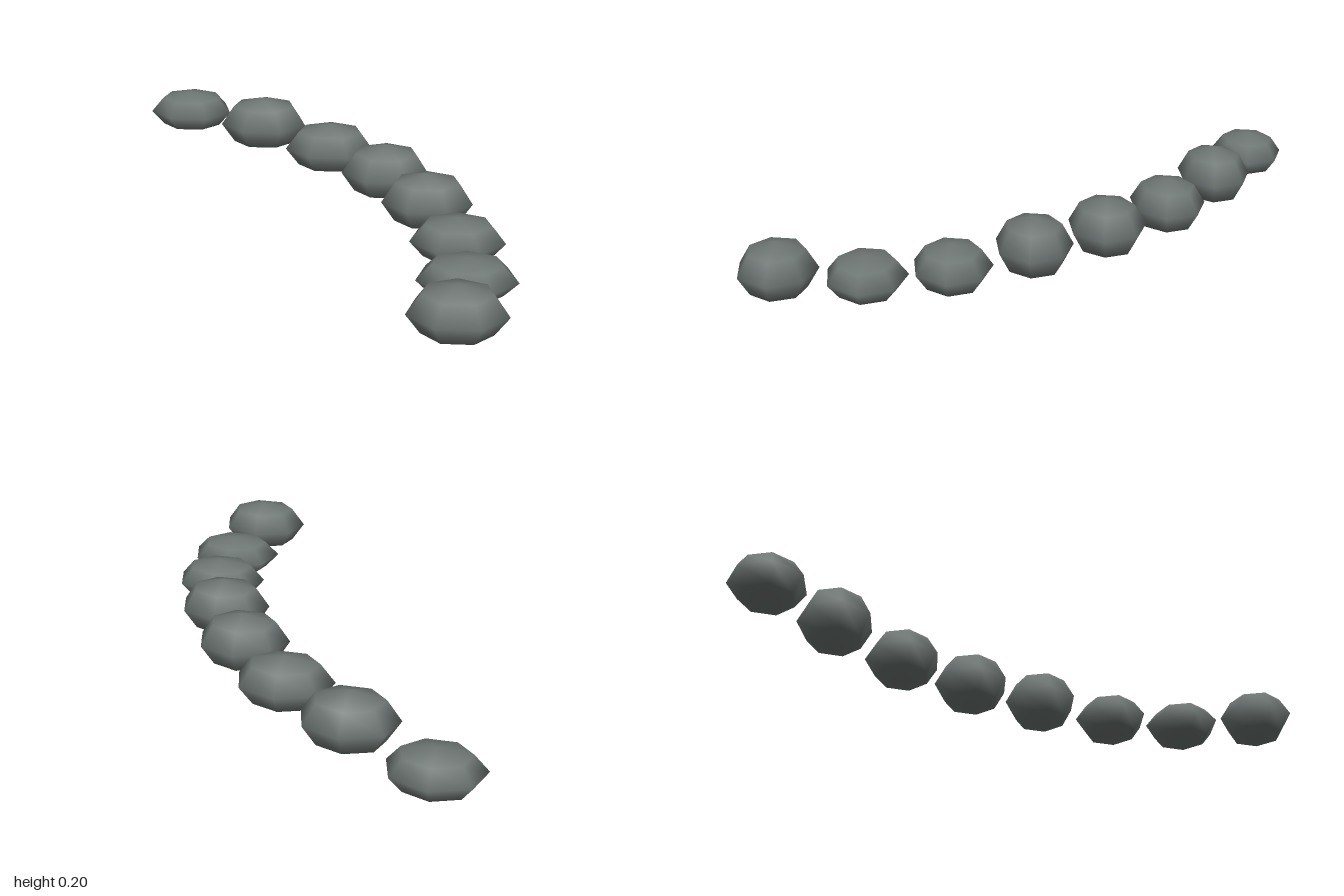
import * as THREE from 'three';

// Curved row of flattened low-sided stepping stones
export function createModel() {
  const group = new THREE.Group();
  group.name = 'steppingStones';
  const stone = new THREE.MeshStandardMaterial({ name: 'stoneGrey', color: 0x6e7674 });

  // Seven sides, four rings, one corner pointing to the back
  const geometry = new THREE.SphereGeometry(1, 7, 4, -Math.PI / 2);

  // x, z, half width, half depth, height
  const stones = [
    [-0.54, -0.868, 0.161, 0.131, 0.155],
    [-0.229, -0.672, 0.1665, 0.131, 0.204],
    [0.04, -0.452, 0.168, 0.133, 0.184],
    [0.255, -0.207, 0.161, 0.134, 0.2],
    [0.405, 0.054, 0.161, 0.131, 0.2],
    [0.507, 0.325, 0.1625, 0.132, 0.157],
    [0.534, 0.598, 0.1665, 0.135, 0.14],
    [0.5, 0.877, 0.16, 0.133, 0.183],
  ];

  stones.forEach(([x, z, rx, rz, height], i) => {
    const mesh = new THREE.Mesh(geometry, stone);
    mesh.name = `stone${i + 1}`;
    mesh.scale.set(rx, height / 2, rz);
    mesh.position.set(x, height / 2, z); // resting on the ground
    group.add(mesh);
  });
  return group;
}
